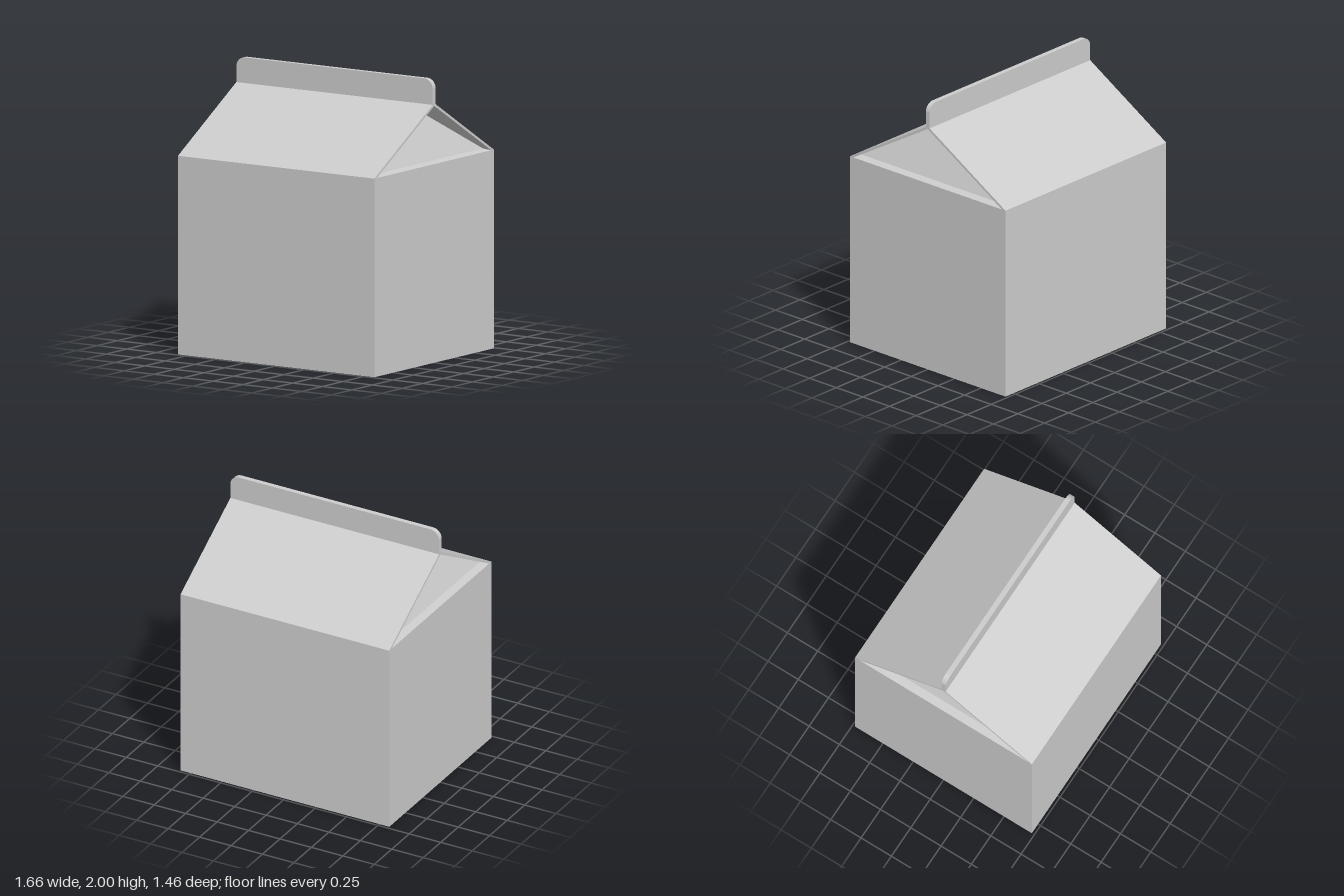
import * as THREE from 'three';

const W = 0.83, D = 0.73, EAVE = 1.4, RIDGE = 1.82, FIN = 0.018;

// Flat faces given for the +x +z quarter, mirrored into all four quarters.
function mirroredFaces(faces) {
  const pos = [];
  for (const sx of [1, -1]) for (const sz of [1, -1]) {
    for (const face of faces) {
      const f = face.map(([x, y, z]) => [x * sx, y, z * sz]);
      if (sx * sz < 0) f.reverse();
      for (let i = 1; i < f.length - 1; i++) pos.push(...f[0], ...f[i], ...f[i + 1]);
    }
  }
  const geo = new THREE.BufferGeometry();
  geo.setAttribute('position', new THREE.Float32BufferAttribute(pos, 3));
  geo.computeVertexNormals();
  return geo;
}

export function createModel() {
  const group = new THREE.Group();
  const material = new THREE.MeshStandardMaterial({ color: 0xcccccc });
  const add = (name, geo) => {
    const mesh = new THREE.Mesh(geo, material);
    mesh.name = name;
    group.add(mesh);
    return mesh;
  };

  // Carton body, open at the top where the roof closes it
  const box = new THREE.BoxGeometry(2 * W, EAVE, 2 * D);
  const index = Array.from(box.index.array);
  index.splice(12, 6);
  box.setIndex(index);
  box.clearGroups();
  add('body', box).position.y = EAVE / 2;

  // Key points of the roof end
  const eave = [W, EAVE, D], ridge = [W, RIDGE, FIN], ridgeMid = [W, RIDGE, 0];
  const innerEave = [W, EAVE, 0.697], innerRidge = [W, 1.81, 0];
  const foldBase = [0.77, 1.41, 0.68], foldMid = [0.77, 1.41, 0], foldTip = [0.58, 1.81, 0];

  // Sloping panels with their thin end rims and the overhanging underside
  add('roofPanels', mirroredFaces([
    [[0, EAVE, D], eave, ridge, [0, RIDGE, FIN]],
    [innerEave, innerRidge, ridgeMid, ridge, eave],
    [innerEave, foldBase, foldTip, innerRidge],
  ]));

  // Triangular gables folded inward
  add('gableFolds', mirroredFaces([[foldBase, foldMid, foldTip]]));

  // Narrow ledges at the foot of the gables
  add('gableLedges', mirroredFaces([[eave, [W, EAVE, 0], foldMid, foldBase]]));

  // Upright sealing fin with rounded top corners
  const r = 0.07, top = 2;
  const fin = new THREE.Shape();
  fin.moveTo(-W, RIDGE - 0.005);
  fin.lineTo(W, RIDGE - 0.005);
  fin.lineTo(W, top - r);
  fin.absarc(W - r, top - r, r, 0, Math.PI / 2);
  fin.lineTo(-W + r, top);
  fin.absarc(-W + r, top - r, r, Math.PI / 2, Math.PI);
  fin.closePath();
  const finGeo = new THREE.ExtrudeGeometry(fin, { depth: 2 * FIN, bevelEnabled: false, curveSegments: 8 });
  add('topFin', finGeo.translate(0, 0, -FIN));

  return group;
}
